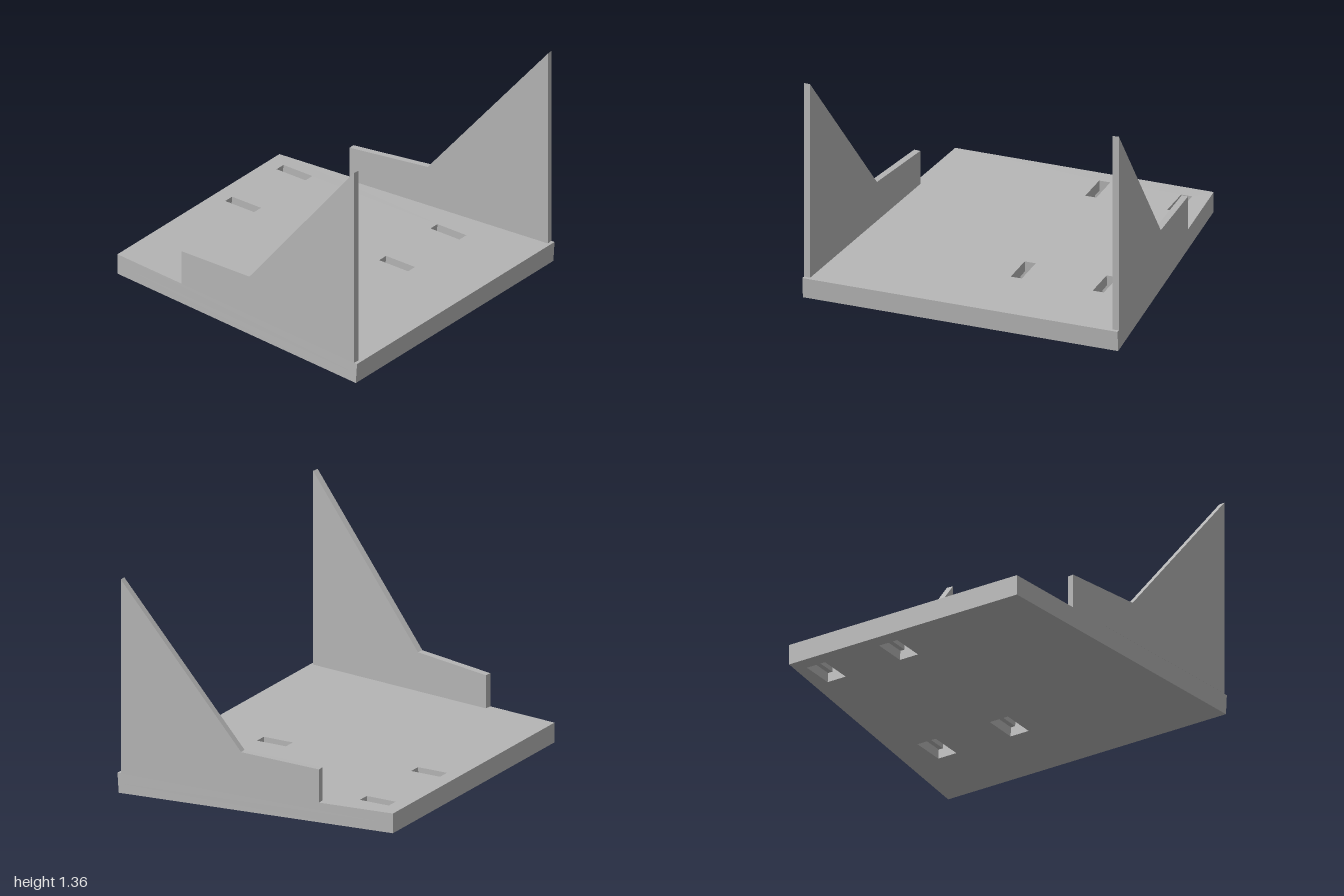
import * as THREE from 'three';

const SLOPE = 0.071;          // plate rises towards the back
const FRONT = 0.91, BACK = -0.915;
const THICK = 0.125, WALL = 0.04;

// half width of the tapered plate at depth z
const halfWidth = (z) => 0.82 + 0.18 * Math.min(1, (z - BACK) / (FRONT - BACK));
const plateTop = (z) => THICK + SLOPE * (FRONT - z);

// move every vertex by a rule, then refresh the flat normals
function reshape(geometry, rule) {
  const p = geometry.attributes.position;
  const v = new THREE.Vector3();
  for (let i = 0; i < p.count; i++) {
    rule(v.fromBufferAttribute(p, i));
    p.setXYZ(i, v.x, v.y, v.z);
  }
  geometry.computeVertexNormals();
  return geometry;
}

// one layer of the sloping plate, with four slots of the given width
function plateLayer(y0, y1, slotWidth) {
  const shape = new THREE.Shape([[-1, -FRONT], [1, -FRONT], [0.82, -BACK], [-0.82, -BACK]]
    .map(([x, y]) => new THREE.Vector2(x, y)));
  for (const x of [0.17, 0.69]) {
    for (const z of [-0.725, 0.372]) {
      const w = slotWidth / 2, l = 0.103;
      shape.holes.push(new THREE.Path([[x - w, -z - l], [x - w, -z + l], [x + w, -z + l], [x + w, -z - l]]
        .map(([a, b]) => new THREE.Vector2(a, b))));
    }
  }
  const g = new THREE.ExtrudeGeometry(shape, { depth: y1 - y0, bevelEnabled: false });
  g.rotateX(-Math.PI / 2);
  return reshape(g, (v) => {
    const y = v.y + y0;
    v.y = y + SLOPE * (FRONT - v.z);
    if (v.z > -0.9) v.z += 0.07 * y; // front edge and slots stand square to the slope
  });
}

// side wall following the taper; side is +1 (left) or -1 (right)
function sideWall(side) {
  const front = 0.896, back = -0.424;
  const shape = new THREE.Shape([
    [front, plateTop(front)], [front, 1.355], [0.095, 0.43], [back, 0.43], [back, plateTop(back)],
  ].map(([z, y]) => new THREE.Vector2(z, y)));
  const g = new THREE.ExtrudeGeometry(shape, { depth: WALL, bevelEnabled: false });
  g.rotateY(-Math.PI / 2);
  return reshape(g, (v) => {
    const depth = -v.x;
    const inset = side > 0 ? depth : WALL - depth;
    v.x = side * (halfWidth(v.z) - inset);
    v.z += inset * 0.1; // ends cut square to the wall
  });
}

export function createModel() {
  const model = new THREE.Group();
  model.name = 'stand';
  const grey = new THREE.MeshStandardMaterial({ color: 0xb4b4b4, flatShading: true });
  grey.name = 'grey';

  const add = (name, geometry) => {
    const mesh = new THREE.Mesh(geometry, grey);
    mesh.name = name;
    model.add(mesh);
  };

  // base plate: wide slot recesses underneath, narrow slots above
  add('plateLower', plateLayer(0, 0.06, 0.13));
  add('plateUpper', plateLayer(0.06, THICK, 0.07));

  // side walls
  add('leftWall', sideWall(1));
  add('rightWall', sideWall(-1));
  return model;
}
